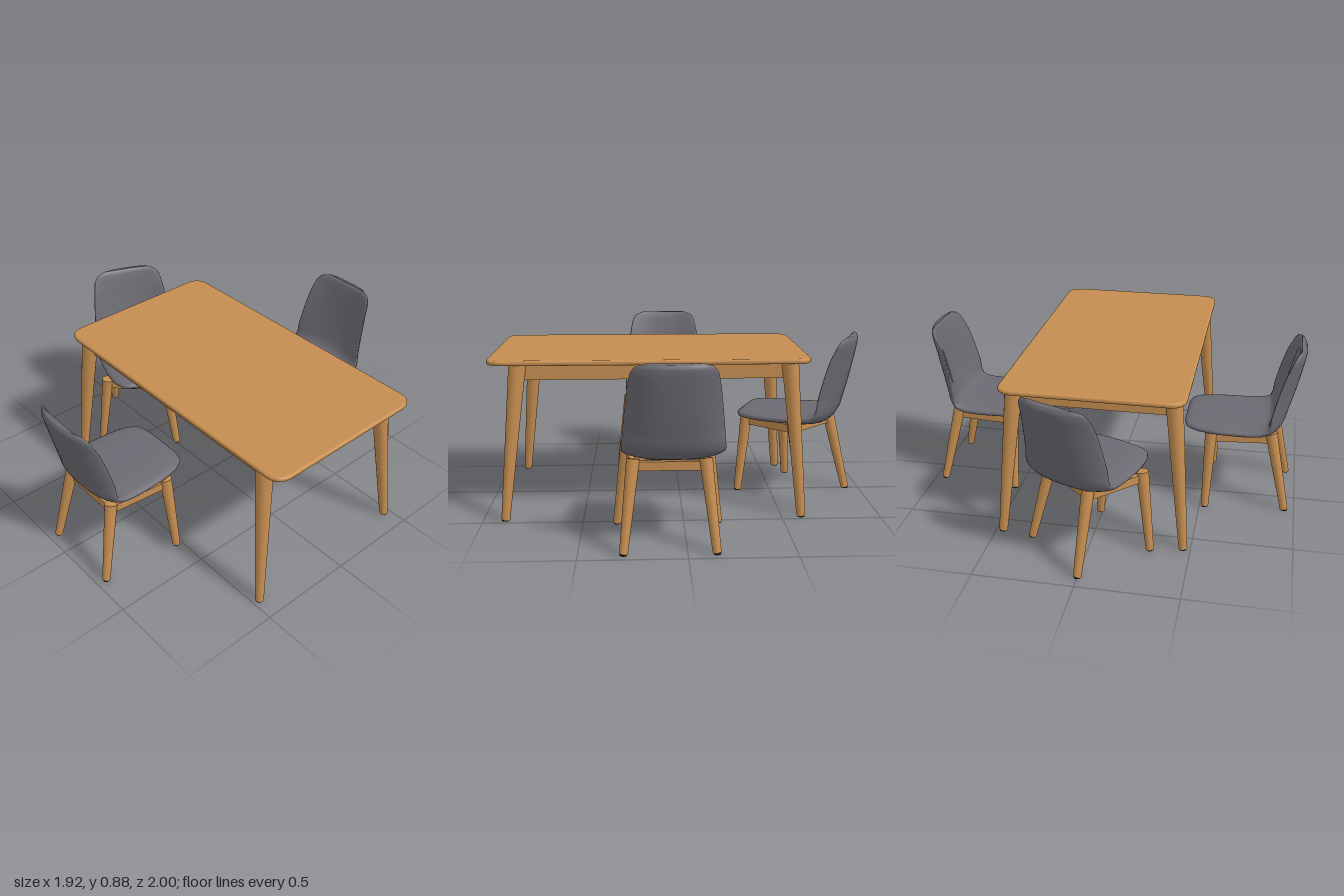
import * as THREE from 'three';

const wood = new THREE.MeshStandardMaterial({ name: 'oak wood', color: 0xc58d50 });
const fabric = new THREE.MeshStandardMaterial({ name: 'grey fabric', color: 0x6b6a72 });
const rubber = new THREE.MeshStandardMaterial({ name: 'dark foot pads', color: 0x2c2a2a });

const V = (x, y, z) => new THREE.Vector3(x, y, z);

function add(parent, name, geometry, material) {
  const mesh = new THREE.Mesh(geometry, material);
  mesh.name = name;
  parent.add(mesh);
  return mesh;
}

// Tapered round leg between two points, with a thin pad under it
function addLeg(parent, name, top, bottom, rTop, rBottom) {
  const dir = top.clone().sub(bottom);
  const leg = add(parent, name, new THREE.CylinderGeometry(rTop, rBottom, dir.length(), 20), wood);
  leg.position.copy(top).add(bottom).multiplyScalar(0.5);
  leg.quaternion.setFromUnitVectors(V(0, 1, 0), dir.normalize());
  const pad = add(parent, name + 'Pad', new THREE.CylinderGeometry(rBottom * 0.95, rBottom * 0.85, 0.007, 20), rubber);
  pad.position.set(bottom.x, 0.0035, bottom.z);
}

// Flat rail standing on edge between two points at the same height
function addRail(parent, name, a, b, height, thickness) {
  const d = b.clone().sub(a);
  const rail = add(parent, name, new THREE.BoxGeometry(d.length(), height, thickness), wood);
  rail.position.copy(a).add(b).multiplyScalar(0.5);
  rail.rotation.y = Math.atan2(-d.z, d.x);
}

function createTable() {
  const table = new THREE.Group();
  table.name = 'table';

  // Top with rounded corners and softened edges
  const x0 = -0.628, x1 = 0.95, z0 = -0.443, z1 = 0.446, r = 0.075;
  const s = new THREE.Shape();
  s.moveTo(x0 + r, z0);
  s.lineTo(x1 - r, z0);
  s.quadraticCurveTo(x1, z0, x1, z0 + r);
  s.lineTo(x1, z1 - r);
  s.quadraticCurveTo(x1, z1, x1 - r, z1);
  s.lineTo(x0 + r, z1);
  s.quadraticCurveTo(x0, z1, x0, z1 - r);
  s.lineTo(x0, z0 + r);
  s.quadraticCurveTo(x0, z0, x0 + r, z0);
  const slab = new THREE.ExtrudeGeometry(s, {
    depth: 0.006, bevelThickness: 0.01, bevelSize: 0.012, bevelSegments: 3, curveSegments: 10,
  });
  slab.rotateX(-Math.PI / 2).translate(0, 0.79, 0);
  add(table, 'tableTop', slab, wood);

  // Splayed legs and the aprons between them
  for (const side of [1, -1]) {
    const end = side > 0 ? 'Front' : 'Back';
    addLeg(table, 'tableLegRight' + end, V(-0.535, 0.782, side * 0.39), V(-0.598, 0.006, side * 0.463), 0.043, 0.022);
    addLeg(table, 'tableLegLeft' + end, V(0.81, 0.782, side * 0.39), V(0.888, 0.006, side * 0.463), 0.043, 0.022);
    addRail(table, 'apron' + end, V(-0.53, 0.742, side * 0.38), V(0.81, 0.742, side * 0.38), 0.082, 0.024);
  }
  addRail(table, 'apronRight', V(-0.53, 0.742, -0.38), V(-0.53, 0.742, 0.38), 0.082, 0.024);
  addRail(table, 'apronLeft', V(0.81, 0.742, -0.38), V(0.81, 0.742, 0.38), 0.082, 0.024);
  return table;
}

// One-piece padded seat and back: rounded sections swept from seat front to back top.
// Stations: z, y, half width, half thickness, forward curl of the sides
const stations = [
  [-0.345, 0.447, 0.13, 0.008, 0], [-0.325, 0.446, 0.18, 0.024, 0], [-0.27, 0.445, 0.215, 0.031, 0],
  [-0.16, 0.443, 0.235, 0.034, 0], [-0.02, 0.442, 0.24, 0.034, 0.002], [0.06, 0.443, 0.24, 0.034, 0.01],
  [0.11, 0.453, 0.238, 0.034, 0.025], [0.142, 0.487, 0.235, 0.032, 0.04], [0.165, 0.55, 0.23, 0.028, 0.055],
  [0.193, 0.65, 0.22, 0.026, 0.06], [0.217, 0.75, 0.208, 0.024, 0.055], [0.234, 0.825, 0.193, 0.022, 0.04],
  [0.241, 0.858, 0.17, 0.018, 0.03], [0.244, 0.876, 0.125, 0.006, 0.015],
];

function shellGeometry() {
  const path = new THREE.CatmullRomCurve3(stations.map((p) => V(0, p[1], p[0])));
  const size = new THREE.CatmullRomCurve3(stations.map((p) => V(p[2], p[3], p[4])));
  const rows = 52, cols = 36, pos = [], index = [];
  const power = (v, e) => Math.sign(v) * Math.abs(v) ** e;
  for (let i = 0; i <= rows; i++) {
    const c = path.getPoint(i / rows), k = size.getPoint(i / rows), t = path.getTangent(i / rows);
    for (let j = 0; j < cols; j++) {
      const a = (j / cols) * Math.PI * 2;
      const u = power(Math.cos(a), 0.75);
      const n = k.y * power(Math.sin(a), 0.85) + k.z * Math.abs(u) ** 2.6;
      pos.push(k.x * u, c.y + n * t.z, c.z - n * t.y);
    }
  }
  for (let i = 0; i < rows; i++) {
    for (let j = 0; j < cols; j++) {
      const a = i * cols + j, b = i * cols + ((j + 1) % cols);
      index.push(a, b, a + cols, b, b + cols, a + cols);
    }
  }
  // Close both ends
  const e = rows * cols;
  for (let j = 1; j < cols - 1; j++) index.push(0, j + 1, j, e, e + j, e + j + 1);
  const g = new THREE.BufferGeometry();
  g.setAttribute('position', new THREE.Float32BufferAttribute(pos, 3));
  g.setIndex(index);
  g.computeVertexNormals();
  return g;
}

// Leg frame; the seat front is towards -z, spread is half the distance between the front feet
function createFrame(spread) {
  const frame = new THREE.Group();
  frame.name = 'chairFrame';
  const y = 0.391, front = spread - 0.055;
  for (const side of [1, -1]) {
    const name = side > 0 ? 'Left' : 'Right';
    addLeg(frame, 'frontLeg' + name, V(side * front, 0.425, -0.195), V(side * spread, 0.006, -0.207), 0.031, 0.02);
    addLeg(frame, 'rearLeg' + name, V(side * 0.165, 0.425, 0.115), V(side * 0.212, 0.006, 0.212), 0.031, 0.02);
    addRail(frame, 'sideRail' + name, V(side * front, y, -0.195), V(side * 0.165, y, 0.115), 0.042, 0.025);
  }
  addRail(frame, 'frontRail', V(-front, y, -0.195), V(front, y, -0.195), 0.042, 0.025);
  addRail(frame, 'rearRail', V(-0.165, y, 0.115), V(0.165, y, 0.115), 0.042, 0.025);
  addRail(frame, 'middleRail', V(-0.17, y, -0.04), V(0.17, y, -0.04), 0.03, 0.03);
  return frame;
}

function createChair(name, spread, frameAt, frameTurn, shellAt, shellTurn, shell) {
  const chair = new THREE.Group();
  chair.name = name;
  const frame = createFrame(spread);
  frame.position.set(frameAt[0], 0, frameAt[1]);
  frame.rotation.y = frameTurn;
  chair.add(frame);
  const seat = add(chair, 'seatShell', shell, fabric);
  seat.position.set(shellAt[0], 0, shellAt[1]);
  seat.rotation.y = shellTurn;
  return chair;
}

export function createModel() {
  const model = new THREE.Group();
  model.name = 'diningSet';
  const shell = shellGeometry();
  const deg = Math.PI / 180;
  model.add(
    createTable(),
    createChair('frontChair', 0.25, [0.08, 0.735], 0, [0.06, 0.74], 0, shell),
    createChair('backChair', 0.25, [0.08, -0.735], Math.PI, [0.06, -0.74], Math.PI, shell),
    createChair('sideChair', 0.22, [-0.625, 0], -135 * deg, [-0.685, -0.035], -112 * deg, shell),
  );
  return model;
}
